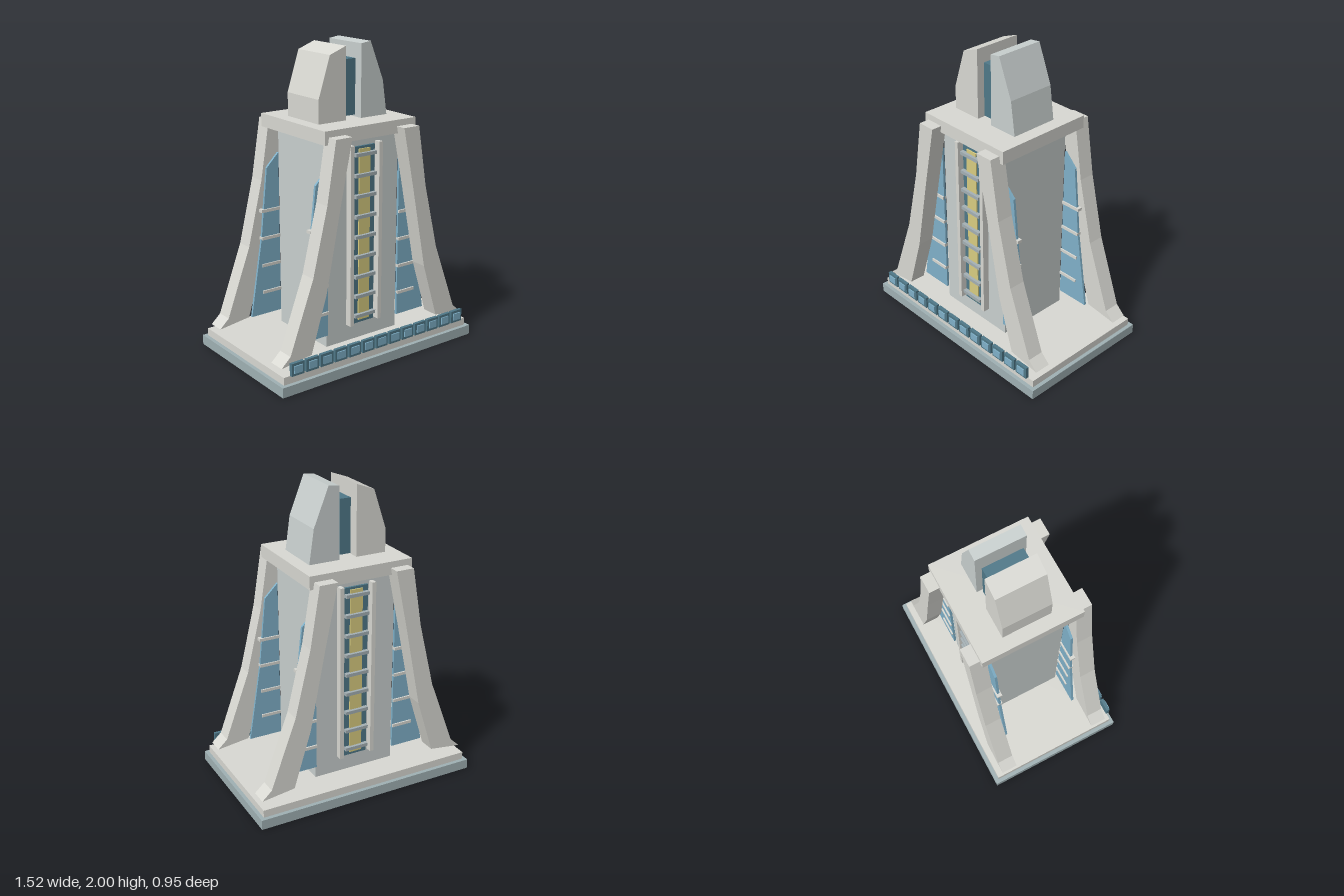
import * as THREE from 'three';

const mat = (color) => new THREE.MeshStandardMaterial({ color, flatShading: true });

export function createModel() {
  const model = new THREE.Group();
  const stone = mat(0xd8d8d2);
  const paleStone = mat(0xc8cfce);
  const slate = mat(0x9fb0b3);
  const darkBlue = mat(0x4f7888);
  const glass = mat(0x7fb0c8);
  const yellow = mat(0xd8cc80);
  const metal = mat(0xa4b0b4);

  // box given by its lower and upper limits
  const box = (name, material, [x0, x1], [y0, y1], [z0, z1], parent = model) => {
    const mesh = new THREE.Mesh(new THREE.BoxGeometry(x1 - x0, y1 - y0, z1 - z0), material);
    mesh.position.set((x0 + x1) / 2, (y0 + y1) / 2, (z0 + z1) / 2);
    mesh.name = name;
    parent.add(mesh);
  };

  // front outline extruded from z0 to z1
  const slab = (name, material, points, z0, z1, parent = model) => {
    const shape = new THREE.Shape(points.map(([x, y]) => new THREE.Vector2(x, y)));
    const geometry = new THREE.ExtrudeGeometry(shape, { depth: z1 - z0, bevelEnabled: false });
    geometry.translate(0, 0, z0);
    const mesh = new THREE.Mesh(geometry, material);
    mesh.name = name;
    parent.add(mesh);
  };

  // stepped base, central shaft and cap
  box('base', slate, [-0.76, 0.76], [0, 0.065], [-0.473, 0.473]);
  box('plinth', stone, [-0.735, 0.735], [0.065, 0.115], [-0.447, 0.447]);
  box('shaft', paleStone, [-0.28, 0.28], [0.115, 1.445], [-0.255, 0.255]);
  box('cap', stone, [-0.35, 0.35], [1.445, 1.53], [-0.34, 0.34]);

  // split crown with a dark core
  slab('rightCrown', stone,
    [[-0.265, 1.53], [-0.06, 1.53], [-0.06, 1.985], [-0.18, 1.94], [-0.265, 1.68]], -0.163, 0.163);
  slab('leftCrown', paleStone,
    [[0.058, 1.53], [0.262, 1.53], [0.23, 1.75], [0.13, 2], [0.058, 1.99]], -0.163, 0.163);
  box('crownCore', darkBlue, [-0.036, 0.036], [1.55, 1.9], [-0.132, 0.132]);

  // flared legs, side glass and glazing bars at the four corners
  const legOutline = [
    [0.2, 1.49], [0.285, 1.085], [0.39, 0.555], [0.505, 0.185],
    [0.725, 0.155], [0.66, 0.215], [0.49, 0.67], [0.385, 1.1], [0.32, 1.49],
  ];
  const glassOutline = [[0.28, 0.2], [0.507, 0.2], [0.42, 0.72], [0.37, 1.19], [0.28, 1.28]];
  for (const sx of [-1, 1]) {
    for (const sz of [-1, 1]) {
      const span = (a, b, s) => (s > 0 ? [a, b] : [-b, -a]);
      const mirror = (points) => points.map(([x, y]) => [x * sx, y]);
      const corner = new THREE.Group();
      corner.name = (sz > 0 ? 'front' : 'back') + (sx > 0 ? 'Left' : 'Right') + 'Corner';
      slab('leg', stone, mirror(legOutline), ...span(0.3, 0.41, sz), corner);
      slab('sideGlass', glass, mirror(glassOutline), ...span(0.257, 0.273, sz), corner);
      for (let i = 0; i < 4; i++) {
        const y = 0.355 + i * 0.185;
        box('glazingBar', stone, span(0.28, 0.42, sx), [y - 0.01, y + 0.01], span(0.248, 0.283, sz), corner);
      }
      model.add(corner);
    }
  }

  // tall lit window with rungs and side fins, front and back
  for (const side of [1, -1]) {
    const window = new THREE.Group();
    window.name = side > 0 ? 'frontWindow' : 'backWindow';
    box('windowPanel', darkBlue, [-0.083, 0.083], [0.225, 1.385], [0.25, 0.27], window);
    box('lightStrip', yellow, [-0.043, 0.043], [0.245, 1.37], [0.25, 0.278], window);
    for (let i = 0; i < 9; i++) {
      const y = 0.28 + i * 0.132;
      box('rung', metal, [-0.08, 0.08], [y - 0.011, y + 0.011], [0.26, 0.297], window);
    }
    box('rightFin', stone, [-0.124, -0.097], [0.225, 1.4], [0.25, 0.3], window);
    box('leftFin', stone, [0.097, 0.124], [0.225, 1.4], [0.25, 0.3], window);
    window.rotation.y = side > 0 ? 0 : Math.PI;
    model.add(window);
  }

  // row of small framed windows along the front edge
  for (let i = -6; i <= 6; i++) {
    const x = i * 0.1073;
    box('smallWindowFrame', darkBlue, [x - 0.046, x + 0.046], [0.115, 0.197], [0.443, 0.465]);
    box('smallWindowGlass', glass, [x - 0.03, x + 0.03], [0.132, 0.18], [0.455, 0.472]);
  }

  return model;
}
